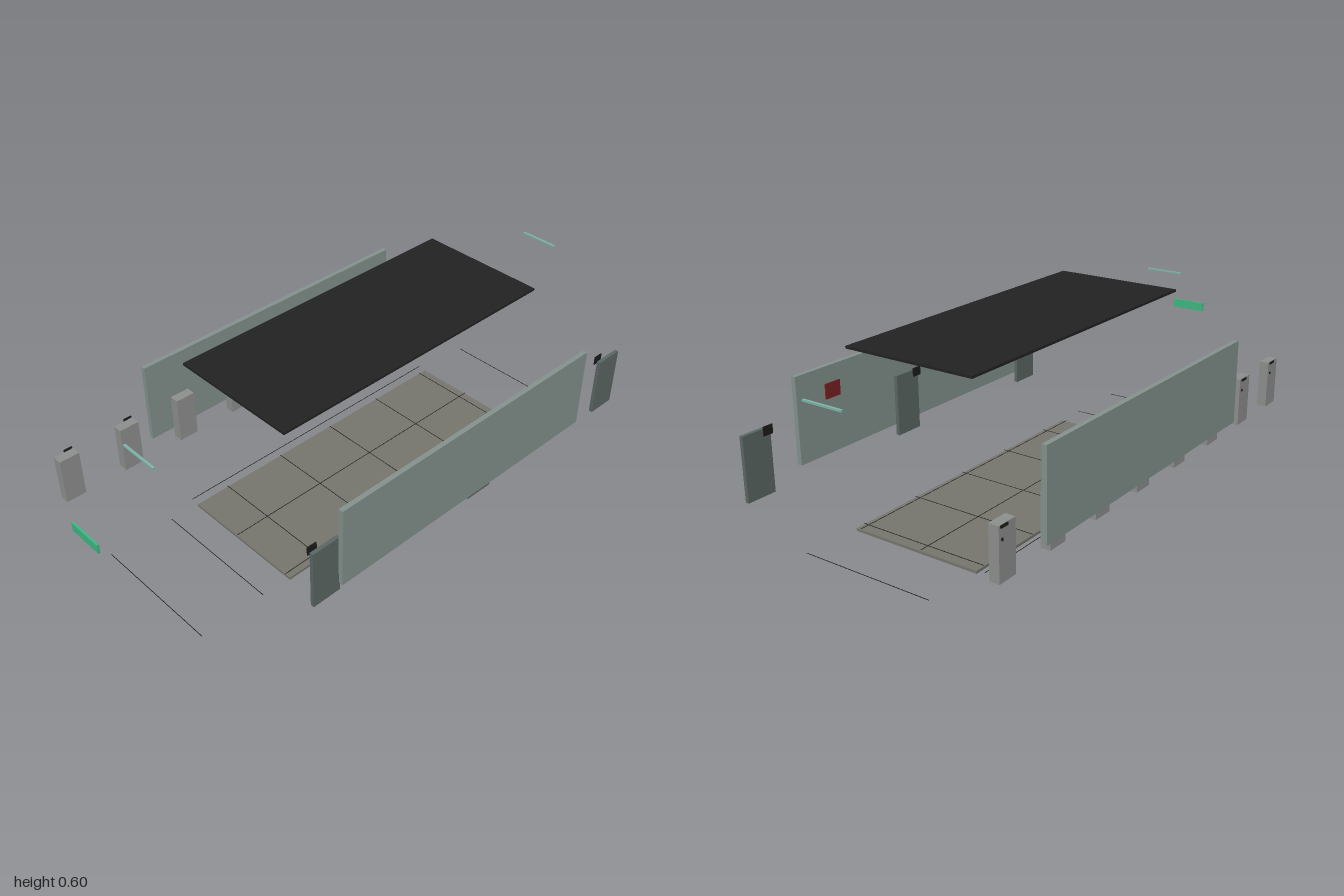
import * as THREE from 'three';

export function createModel() {
  const model = new THREE.Group();
  const mat = (color) => new THREE.MeshStandardMaterial({ color });
  const wallMat = mat(0x85938f), doorMat = mat(0x5d6865), lockerMat = mat(0x8f918f);
  const floorMat = mat(0x77776f), ceilingMat = mat(0x222222), darkMat = mat(0x1c1c1c);
  const lightMat = mat(0x7fb5a8), redMat = mat(0x7a2222), greenMat = mat(0x3fb984);

  // Box given by its minimum and maximum corners
  function box(name, material, [x0, y0, z0], [x1, y1, z1], parent = model) {
    const mesh = new THREE.Mesh(new THREE.BoxGeometry(x1 - x0, y1 - y0, z1 - z0), material);
    mesh.position.set((x0 + x1) / 2, (y0 + y1) / 2, (z0 + z1) / 2);
    mesh.name = name;
    parent.add(mesh);
    return mesh;
  }

  // Corridor shell
  const zBack = -0.673, zFront = 0.45;
  box('floor', floorMat, [-0.235, 0, zBack], [0.235, 0.009, zFront]);
  box('ceiling', ceilingMat, [-0.235, 0.589, zBack], [0.235, 0.597, zFront]);
  box('leftWall', wallMat, [0.46, 0.162, zBack], [0.477, 0.456, zFront]);
  box('rightWall', wallMat, [-0.48, 0.162, zBack], [-0.463, 0.456, zFront]);

  // Tile joints, some running past the floor
  const joints = new THREE.Group();
  joints.name = 'floorJoints';
  model.add(joints);
  for (let i = 0; i < 8; i++) {
    const z = 0.8 - 0.24 * i;
    box('crossJoint', darkMat, [-0.235, 0.0125, z - 0.001], [0.235, 0.0135, z + 0.001], joints);
  }
  for (let i = 0; i < 3; i++) {
    const x = -0.265 + 0.24 * i;
    box('longJoint', darkMat, [x - 0.001, 0.0125, zBack], [x + 0.001, 0.0135, zFront], joints);
  }

  // Row of lockers with vent and handle
  for (let i = 0; i < 8; i++) {
    const z = 0.785 - 0.23 * i;
    const locker = new THREE.Group();
    locker.name = 'locker';
    model.add(locker);
    box('lockerBody', lockerMat, [-0.463, 0.125, z - 0.036], [-0.429, 0.293, z + 0.036], locker);
    box('lockerVent', darkMat, [-0.471, 0.288, z - 0.035], [-0.467, 0.296, z - 0.005], locker);
    box('lockerHandle', darkMat, [-0.469, 0.25, z - 0.03], [-0.466, 0.258, z - 0.024], locker);
  }

  // Doors, each with a small plate
  for (const z of [0.495, -0.185, -0.852]) {
    const door = new THREE.Group();
    door.name = 'door';
    model.add(door);
    box('doorPanel', doorMat, [0.444, 0.125, z - 0.053], [0.457, 0.34, z + 0.053], door);
    box('doorPlate', darkMat, [0.431, 0.321, z + 0.017], [0.435, 0.351, z + 0.052], door);
  }

  // Notice board
  box('noticeBoard', redMat, [0.435, 0.358, -0.573], [0.439, 0.409, -0.51]);

  // Ceiling lights
  for (let i = 0; i < 4; i++) {
    const z = 0.787 - 0.595 * i;
    box('ceilingLight', lightMat, [-0.071, 0.559, z - 0.004], [0.071, 0.565, z + 0.004]);
  }

  // Hanging exit sign
  box('exitSign', greenMat, [-0.065, 0.368, 0.988], [0.063, 0.4, 0.995]);

  return model;
}
